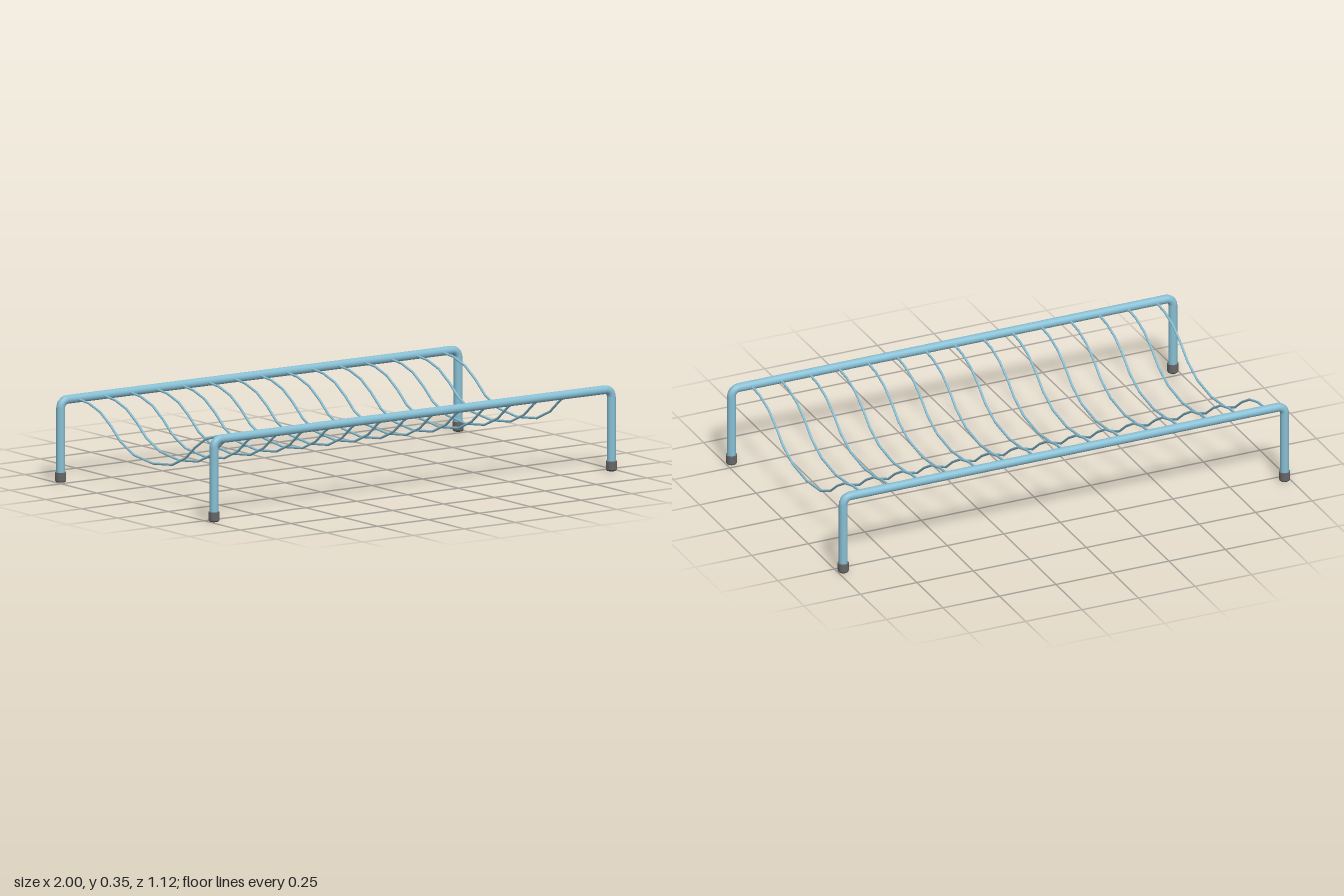
import * as THREE from 'three';
import { toCreasedNormals } from 'three/addons/utils/BufferGeometryUtils.js';

// Straight-segment path whose tube rings land exactly on the given points
class Polyline extends THREE.Curve {
  constructor(points) {
    super();
    this.points = points;
  }
  getPoint(t, target = new THREE.Vector3()) {
    const n = this.points.length - 1;
    const i = Math.min(Math.floor(t * n), n - 1);
    return target.lerpVectors(this.points[i], this.points[i + 1], t * n - i);
  }
  getPointAt(t, target) { return this.getPoint(t, target); }
  getTangentAt(t, target) { return this.getTangent(t, target); }
}

const tube = (points, radius, sides) =>
  new THREE.TubeGeometry(new Polyline(points), points.length - 1, radius, sides, false);

const LEG_X = 0.977, RAIL_Z = 0.535, RAIL_Y = 0.334;

export function createModel() {
  const model = new THREE.Group();
  const metal = new THREE.MeshStandardMaterial({ color: 0x87bfd4 });
  const rubber = new THREE.MeshStandardMaterial({ color: 0x666666 });

  const add = (name, geometry, material, x = 0, y = 0, z = 0) => {
    const mesh = new THREE.Mesh(geometry, material);
    mesh.name = name;
    mesh.position.set(x, y, z);
    model.add(mesh);
  };

  // Side frame: leg, rounded bend, long rail, bend, leg
  const bend = 0.032, steps = 6;
  const half = [new THREE.Vector3(-LEG_X, 0.012, 0)];
  for (let i = 0; i <= steps; i++) {
    const a = (i / steps) * Math.PI / 2;
    half.push(new THREE.Vector3(
      -LEG_X + bend * (1 - Math.cos(a)), RAIL_Y - bend * (1 - Math.sin(a)), 0));
  }
  const mirrored = half.map(p => new THREE.Vector3(-p.x, p.y, 0)).reverse();
  const frame = tube([...half, ...mirrored], 0.018, 16);

  // Foot cap with a chamfered bottom edge
  const foot = toCreasedNormals(new THREE.LatheGeometry([
    [0, 0], [0.018, 0], [0.023, 0.006], [0.023, 0.04], [0, 0.04],
  ].map(([x, y]) => new THREE.Vector2(x, y)), 16), 0.6);

  for (const s of [1, -1]) {
    add(s > 0 ? 'frontFrame' : 'backFrame', frame, metal, 0, 0, s * RAIL_Z);
    for (const side of [1, -1]) add('footCap', foot, rubber, side * LEG_X, 0, s * RAIL_Z);
  }

  // Sagging cross wires between the two rails
  const sag = [
    [0.535, 0.334], [0.445, 0.326], [0.366, 0.302],
    [0.293, 0.257], [0.227, 0.204], [0.134, 0.163],
  ];
  const wirePoints = [
    ...sag.map(([z, y]) => new THREE.Vector3(0, y, z)),
    new THREE.Vector3(0, 0.148, 0),
    ...sag.map(([z, y]) => new THREE.Vector3(0, y, -z)).reverse(),
  ];
  const wire = tube(wirePoints, 0.005, 8);
  for (let i = 0; i < 15; i++) add('crossWire', wire, metal, -0.9 + i * 0.128);

  return model;
}
